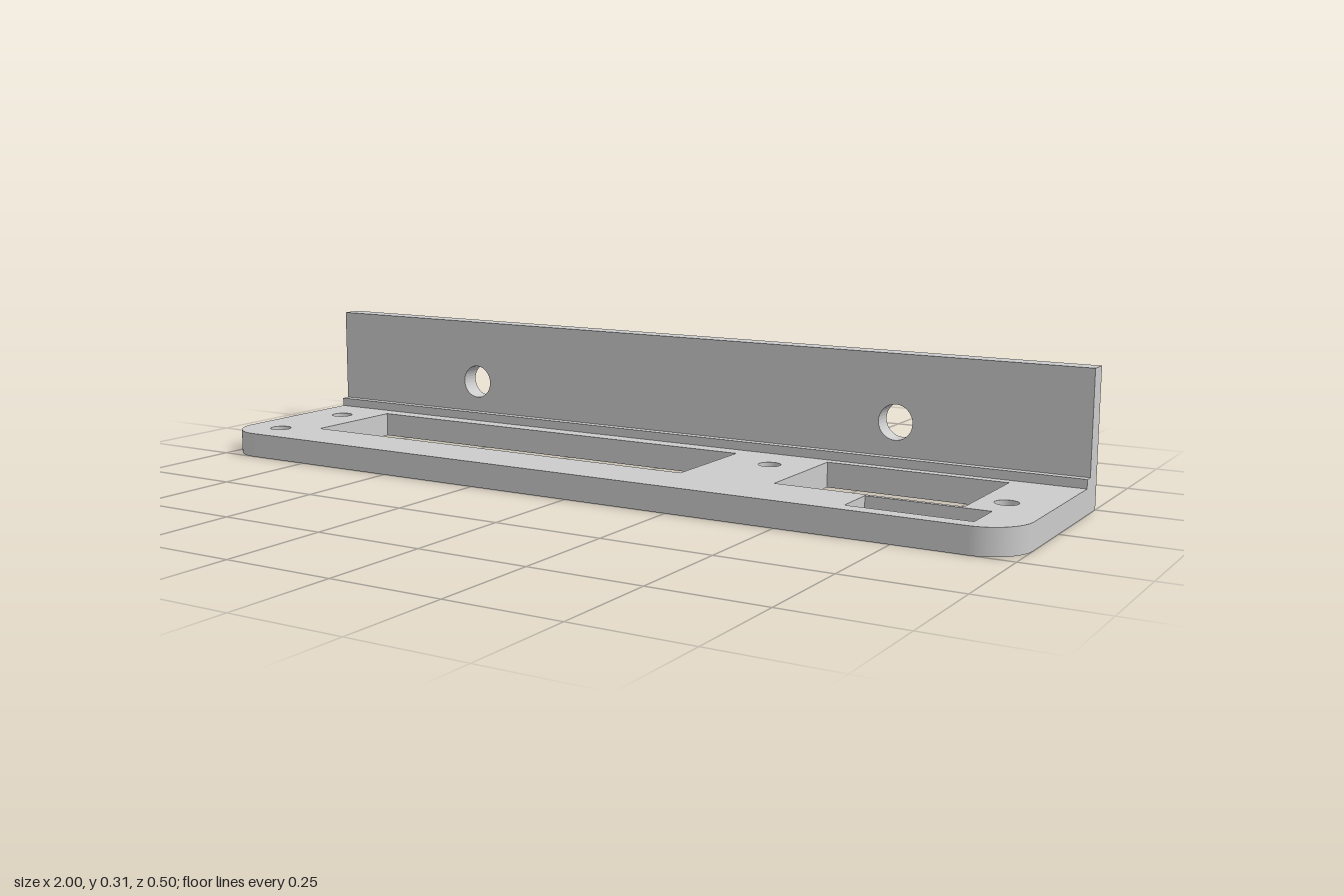
import * as THREE from 'three';

const WIDTH = 2, DEPTH = 0.5, HEIGHT = 0.305;
const PLATE = 0.057, WALL = 0.046, CORNER = 0.095;
const WALL_FRONT = -DEPTH / 2 + WALL;

const material = new THREE.MeshStandardMaterial({ color: 0xcccccc });

function roundHole(x, y, r) {
  return new THREE.Path().absarc(x, y, r, 0, Math.PI * 2, true);
}

function rectHole(x0, x1, y0, y1) {
  return new THREE.Path([[x0, y0], [x0, y1], [x1, y1], [x1, y0]].map(p => new THREE.Vector2(...p)));
}

function extrude(shape, depth) {
  return new THREE.ExtrudeGeometry(shape, { depth, bevelEnabled: false, curveSegments: 16 });
}

function addPart(group, name, geometry) {
  const mesh = new THREE.Mesh(geometry, material);
  mesh.name = name;
  group.add(mesh);
  return mesh;
}

export function createModel() {
  const group = new THREE.Group();
  group.name = 'mountingBracket';
  const hw = WIDTH / 2, front = -DEPTH / 2;

  // Base plate, drawn from above with shape y = -z, front corners rounded
  const plate = new THREE.Shape();
  plate.moveTo(hw, -WALL_FRONT);
  plate.lineTo(-hw, -WALL_FRONT);
  plate.lineTo(-hw, front + CORNER);
  plate.absarc(-hw + CORNER, front + CORNER, CORNER, Math.PI, Math.PI * 1.5, false);
  plate.absarc(hw - CORNER, front + CORNER, CORNER, Math.PI * 1.5, Math.PI * 2, false);
  plate.closePath();

  // Rectangular cut-outs: x range, z range
  for (const [x0, x1, z0, z1] of [
    [-0.816, 0.208, -0.144, 0.112],
    [0.428, 0.843, -0.16, 0.102],
    [0.637, 0.903, 0.113, 0.213],
  ]) plate.holes.push(rectHole(x0, x1, -z1, -z0));

  // Screw holes: x, z
  for (const [x, z] of [[-0.904, -0.07], [-0.904, 0.157], [0.33, -0.07], [0.902, 0.025]])
    plate.holes.push(roundHole(x, -z, 0.025));

  addPart(group, 'basePlate', extrude(plate, PLATE).rotateX(-Math.PI / 2));

  // Upright back wall with two mounting holes
  const wall = new THREE.Shape([[-hw, 0], [hw, 0], [hw, HEIGHT], [-hw, HEIGHT]].map(p => new THREE.Vector2(...p)));
  for (const side of [-1, 1]) wall.holes.push(roundHole(side * 0.568, 0.153, 0.04));
  addPart(group, 'backWall', extrude(wall, WALL)).position.z = -DEPTH / 2;

  // Small reinforcing step along the inside corner
  addPart(group, 'cornerStep', new THREE.BoxGeometry(WIDTH, 0.02, 0.02))
    .position.set(0, PLATE + 0.01, WALL_FRONT + 0.01);

  return group;
}
